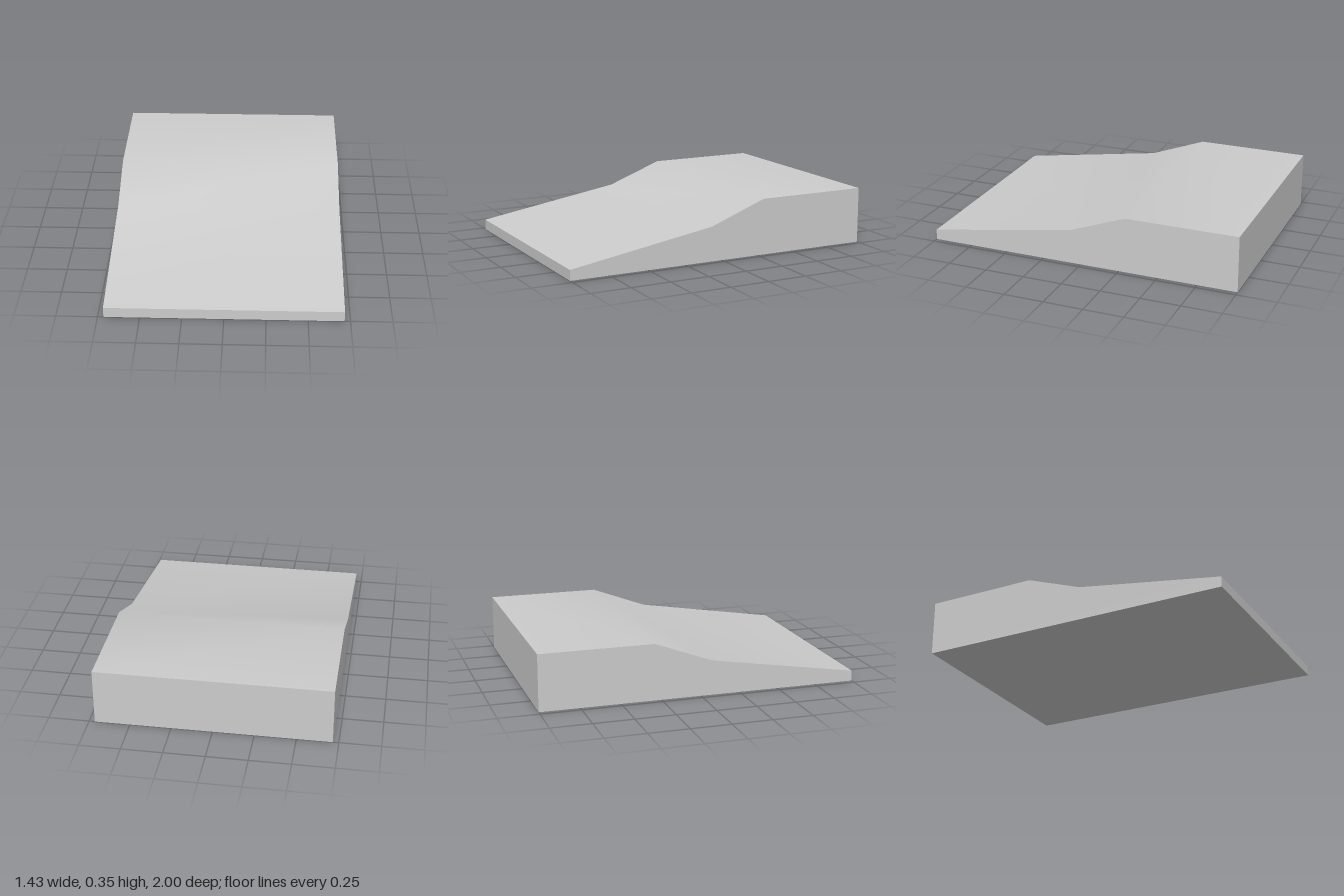
import * as THREE from 'three';
import { toCreasedNormals } from 'three/addons/utils/BufferGeometryUtils.js';

const WIDTH = 1.43;

// Side profile as [z, y]: thin front lip, gentle ramp, steeper ramp, flat deck
const PROFILE = [
  [-1, 0], [1, 0], [1, 0.065], [0.07, 0.217], [-0.29, 0.352], [-1, 0.352],
];

export function createModel() {
  const group = new THREE.Group();
  group.name = 'ramp';

  // Extrude the profile across the width, then turn it to run along z
  const shape = new THREE.Shape(PROFILE.map(([z, y]) => new THREE.Vector2(z, y)));
  const solid = new THREE.ExtrudeGeometry(shape, { depth: WIDTH, bevelEnabled: false });
  solid.translate(0, 0, -WIDTH / 2);
  solid.rotateY(-Math.PI / 2);

  // Smooth the shallow bends of the top, keep the outer edges sharp
  const body = new THREE.Mesh(
    toCreasedNormals(solid, Math.PI / 6),
    new THREE.MeshStandardMaterial({ color: 0xcccccc }),
  );
  body.name = 'rampBody';
  group.add(body);
  return group;
}
